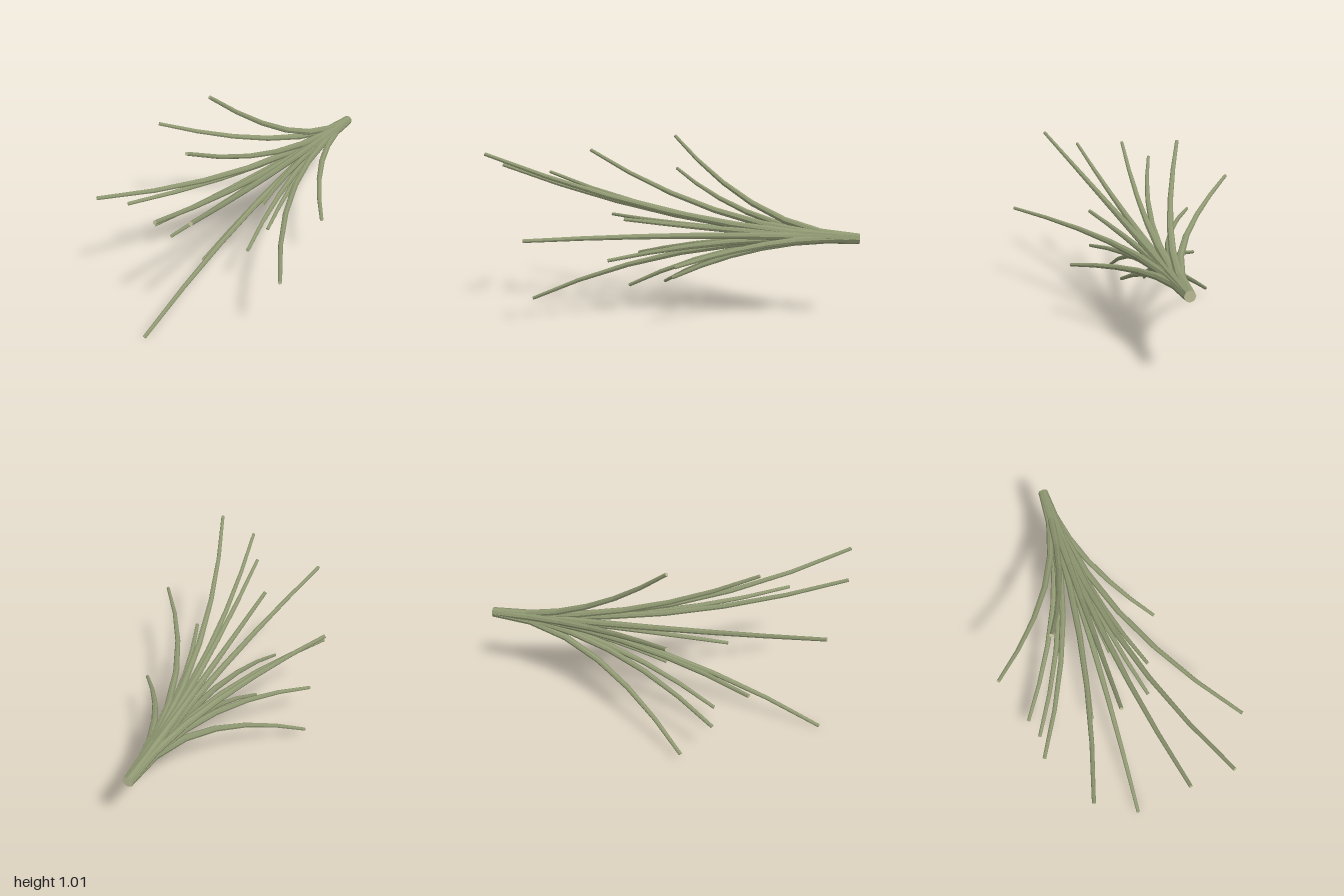
import * as THREE from 'three';
import { mergeGeometries } from 'three/addons/utils/BufferGeometryUtils.js';

const SEGMENTS = 6, SIDES = 8, BASE_RADIUS = 0.024, TIP_RADIUS = 0.01;
const base = new THREE.Vector3(-0.017, 0.49, -1);

// Tip of every stem: x, y, z
const tips = [
  [-0.6, 0.772, 0.16], [-0.276, 1.003, 0.09], [-0.06, 0.93, 0.54], [0.14, 0.853, 0.997],
  [0.355, 0.935, 0.997], [-0.328, 0.76, 0.91], [0.2, 0.58, 0.26], [0.602, 0.519, 0.675],
  [-0.494, 0.478, 0.56], [0.371, 0.369, -0.07], [0.18, 0.336, 0.365], [0.065, 0.231, 0.02],
  [-0.482, 0.24, 0.38], [-0.517, 0.05, 0.22], [-0.155, 0.11, 0.345], [-0.068, 0.01, 0.937],
];

// Round cap facing along a direction
function cap(radius, position, direction) {
  const g = new THREE.CircleGeometry(radius, SIDES);
  g.applyQuaternion(new THREE.Quaternion().setFromUnitVectors(new THREE.Vector3(0, 0, 1), direction));
  return g.translate(position.x, position.y, position.z);
}

// Tapered tube around a curve
function taperedTube(curve) {
  const tube = new THREE.TubeGeometry(curve, SEGMENTS, 1, SIDES, false);
  const pos = tube.attributes.position;
  const v = new THREE.Vector3();
  for (let i = 0; i <= SEGMENTS; i++) {
    const centre = curve.getPointAt(i / SEGMENTS);
    const radius = THREE.MathUtils.lerp(BASE_RADIUS, TIP_RADIUS, i / SEGMENTS);
    for (let j = 0; j <= SIDES; j++) {
      const k = i * (SIDES + 1) + j;
      v.fromBufferAttribute(pos, k).sub(centre).multiplyScalar(radius).add(centre);
      pos.setXYZ(k, v.x, v.y, v.z);
    }
  }
  return tube;
}

export function createModel() {
  const group = new THREE.Group();
  group.name = 'stemBundle';
  const green = new THREE.MeshStandardMaterial({ color: 0x8f9872, flatShading: true });
  green.name = 'sage green';
  const pale = new THREE.MeshStandardMaterial({ color: 0xb8b894 });
  pale.name = 'pale cut end';

  tips.forEach((t, i) => {
    // Each stem leaves the base along z and bends outward to its tip
    const tip = new THREE.Vector3(...t);
    const out = new THREE.Vector3(tip.x - base.x, tip.y - base.y, 0).normalize();
    const start = base.clone().addScaledVector(out, 0.005);
    const bend = new THREE.Vector3(start.x, start.y, (start.z + tip.z) / 2);
    const curve = new THREE.QuadraticBezierCurve3(start, bend, tip);

    const stem = new THREE.Mesh(taperedTube(curve), green);
    stem.name = `stem${i + 1}`;
    const ends = new THREE.Mesh(mergeGeometries([
      cap(BASE_RADIUS, start, new THREE.Vector3(0, 0, -1)),
      cap(TIP_RADIUS, tip, curve.getTangentAt(1)),
    ]), pale);
    ends.name = `cutEnds${i + 1}`;
    group.add(stem, ends);
  });
  return group;
}
